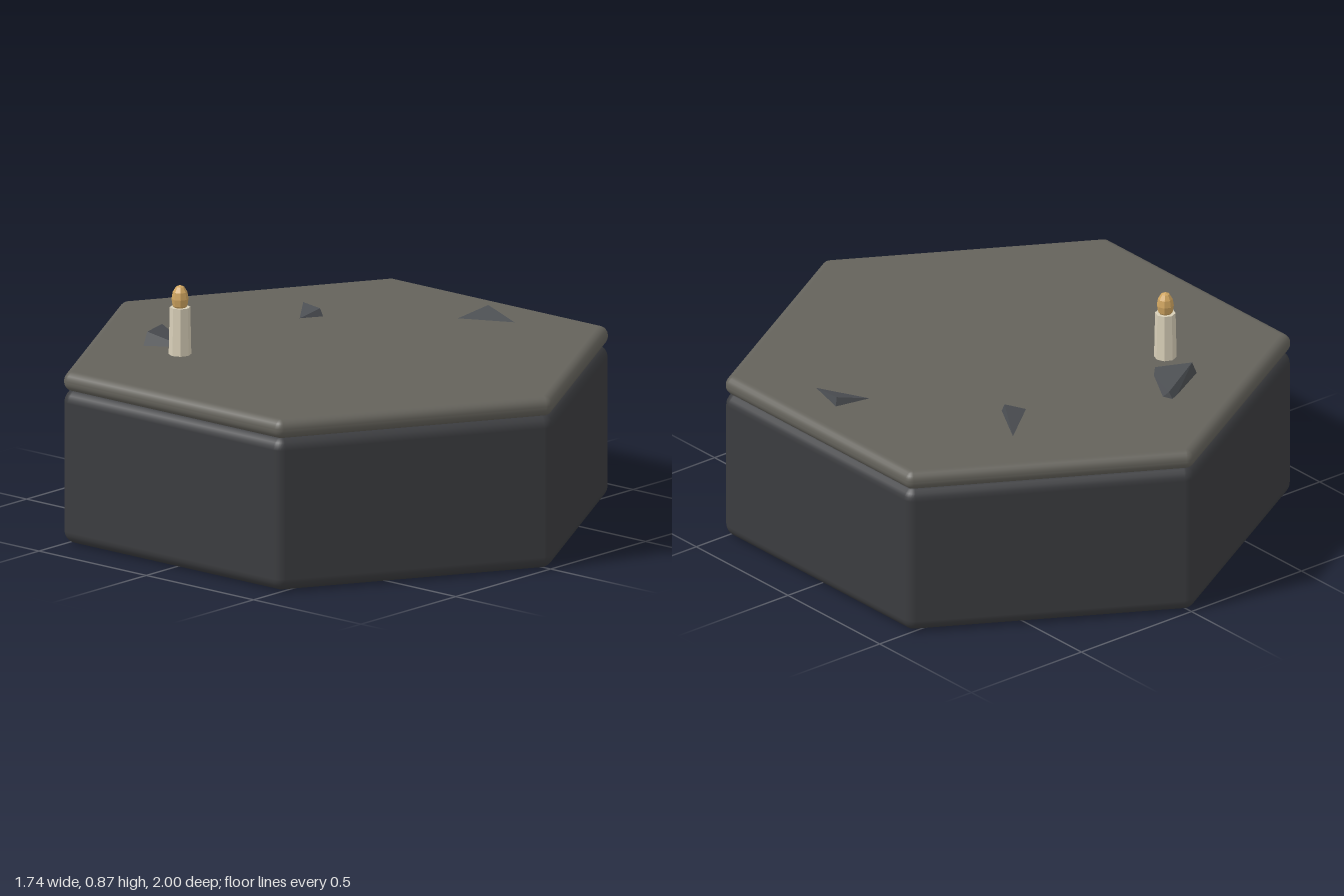
import * as THREE from 'three';
import { ConvexGeometry } from 'three/addons/geometries/ConvexGeometry.js';

const TOP = 0.62;

function addMesh(parent, name, geometry, color, flatShading = false) {
  const mesh = new THREE.Mesh(geometry, new THREE.MeshStandardMaterial({ color, flatShading }));
  mesh.name = name;
  parent.add(mesh);
  return mesh;
}

// Hexagonal prism whose edges and corners are all rounded with radius r
function roundedHexPrism(apothem, y0, y1, r, steps = 5) {
  const position = [], normal = [], index = [];
  const cornerDistance = (apothem - r) / Math.cos(Math.PI / 6);
  const ringSize = 6 * (steps + 1);
  const rings = 2 * (steps + 1);
  for (let j = 0; j < rings; j++) {
    const upper = j > steps;
    const lat = (upper ? j - steps - 1 : j - steps) / steps * Math.PI / 2;
    const cy = upper ? y1 - r : y0 + r;
    for (let c = 0; c < 6; c++) {
      const corner = c * Math.PI / 3;
      for (let k = 0; k <= steps; k++) {
        const a = corner + (k / steps - 0.5) * Math.PI / 3;
        const n = [Math.sin(a) * Math.cos(lat), Math.sin(lat), Math.cos(a) * Math.cos(lat)];
        position.push(Math.sin(corner) * cornerDistance + n[0] * r, cy + n[1] * r,
          Math.cos(corner) * cornerDistance + n[2] * r);
        normal.push(...n);
      }
    }
  }
  for (let j = 0; j < rings - 1; j++) {
    for (let i = 0; i < ringSize; i++) {
      const next = (i + 1) % ringSize;
      const a = j * ringSize + i, b = j * ringSize + next;
      index.push(a, b, b + ringSize, a, b + ringSize, a + ringSize);
    }
  }
  // Flat bottom and top
  const bottom = position.length / 3;
  position.push(0, y0, 0, 0, y1, 0);
  normal.push(0, -1, 0, 0, 1, 0);
  const last = (rings - 1) * ringSize;
  for (let i = 0; i < ringSize; i++) {
    const next = (i + 1) % ringSize;
    index.push(bottom, next, i, bottom + 1, last + i, last + next);
  }
  const g = new THREE.BufferGeometry();
  g.setAttribute('position', new THREE.Float32BufferAttribute(position, 3));
  g.setAttribute('normal', new THREE.Float32BufferAttribute(normal, 3));
  g.setIndex(index);
  return g;
}

export function createModel() {
  const model = new THREE.Group();
  model.name = 'hexTile';

  addMesh(model, 'base', roundedHexPrism(0.87, 0, 0.555, 0.045), 0x3b3c3f);
  addMesh(model, 'topSlab', roundedHexPrism(0.87, 0.55, TOP, 0.033), 0x64625b);

  // Angular stone shards, sunk slightly into the slab
  const sunk = TOP - 0.01;
  const shards = [
    [[-0.42, sunk, -0.53], [-0.22, sunk, -0.64], [-0.2, sunk, -0.59], [-0.32, sunk, -0.375],
      [-0.395, 0.667, -0.53], [-0.215, 0.643, -0.62]],
    [[0.2, sunk, -0.38], [0.435, sunk, -0.565], [0.3, sunk, -0.32], [0.295, 0.648, -0.335]],
    [[0.55, sunk, 0.035], [0.725, sunk, 0.07], [0.67, sunk, 0.28], [0.712, 0.65, 0.08]],
  ];
  shards.forEach((points, i) => {
    const geometry = new ConvexGeometry(points.map((p) => new THREE.Vector3(...p)));
    addMesh(model, `shard${i + 1}`, geometry, 0x4b4e52, true);
  });

  // Candle with its flame
  const candle = new THREE.Group();
  candle.name = 'candle';
  candle.position.set(-0.415, TOP, -0.36);
  model.add(candle);
  addMesh(candle, 'wax', new THREE.CylinderGeometry(0.036, 0.04, 0.18, 8), 0xd8cfb8, true).position.y = 0.08;
  const flame = addMesh(candle, 'flame', new THREE.SphereGeometry(0.03, 8, 6), 0xd0a560, true);
  flame.scale.y = 1.65;
  flame.position.y = 0.2;

  return model;
}
